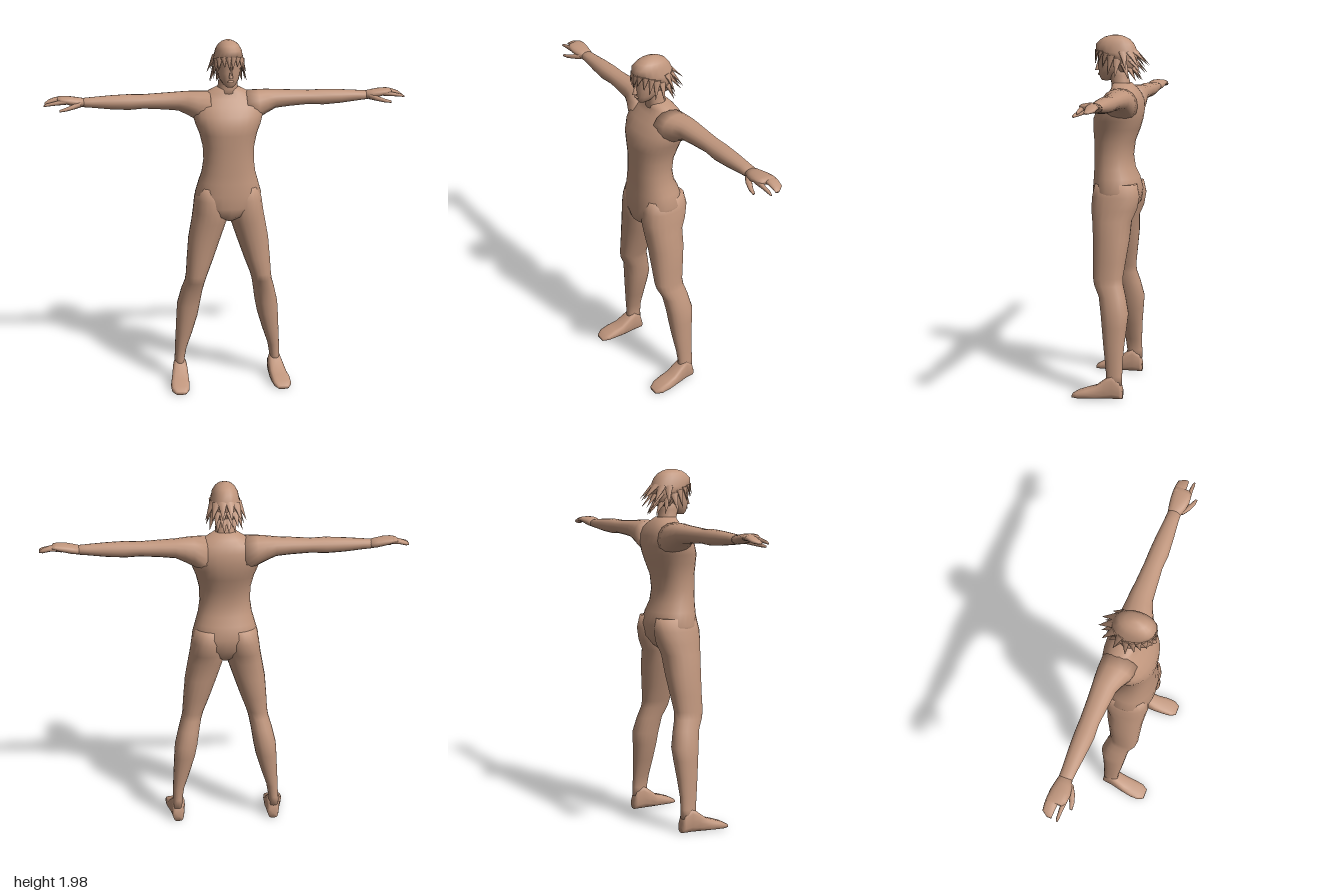
import * as THREE from 'three';

const skin = new THREE.MeshStandardMaterial({ color: 0xc0967d });
skin.name = 'skin';

// Axis of travel -> the two cross-section axes (cyclic order).
const AXES = { x: [0, 1, 2], y: [1, 2, 0], z: [2, 0, 1] };

// Loft through rounded sections [t, uMin, uMax, vMin, vMax], t increasing.
// Along x: u = y, v = z. Along y: u = z, v = x. Along z: u = x, v = y.
function loft(axis, sections, { sides = 20, power = 2.2, mirror = false } = {}) {
  const [w, u, v] = AXES[axis];
  const pos = [], index = [];
  const add = (t, a, b) => {
    const p = [0, 0, 0];
    p[w] = t; p[u] = a; p[v] = b;
    if (mirror) p[0] *= -1;
    pos.push(...p);
  };
  const tri = (a, b, c) => (mirror ? index.push(a, c, b) : index.push(a, b, c));
  const round = (c) => Math.sign(c) * Math.abs(c) ** (2 / power);
  for (const [t, u0, u1, v0, v1] of sections) {
    for (let j = 0; j < sides; j++) {
      const a = (j / sides) * Math.PI * 2;
      add(t, (u0 + u1) / 2 + (u1 - u0) / 2 * round(Math.cos(a)),
        (v0 + v1) / 2 + (v1 - v0) / 2 * round(Math.sin(a)));
    }
  }
  const n = sections.length;
  for (let i = 0; i < n - 1; i++) {
    for (let j = 0; j < sides; j++) {
      const k = (j + 1) % sides, a = i * sides, b = a + sides;
      tri(a + j, a + k, b + k);
      tri(a + j, b + k, b + j);
    }
  }
  // End caps
  for (const i of [0, n - 1]) {
    const [t, u0, u1, v0, v1] = sections[i];
    const centre = pos.length / 3;
    add(t, (u0 + u1) / 2, (v0 + v1) / 2);
    for (let j = 0; j < sides; j++) {
      const a = i * sides + j, b = i * sides + (j + 1) % sides;
      if (i === 0) tri(centre, b, a); else tri(centre, a, b);
    }
  }
  const g = new THREE.BufferGeometry();
  g.setAttribute('position', new THREE.Float32BufferAttribute(pos, 3));
  g.setIndex(index);
  g.computeVertexNormals();
  return g;
}

// Flattened spike from base to tip, its flat side facing away from the head's axis.
function lock(base, tip, width, thick) {
  const b = new THREE.Vector3(...base), t = new THREE.Vector3(...tip);
  const dir = t.clone().sub(b), len = dir.length();
  dir.normalize();
  const side = new THREE.Vector3().crossVectors(dir, new THREE.Vector3(b.x, 0.02, b.z)).normalize();
  const out = new THREE.Vector3().crossVectors(side, dir);
  const g = new THREE.ConeGeometry(1, len, 6).translate(0, len / 2, 0).scale(width, 1, thick);
  return g.applyMatrix4(new THREE.Matrix4().makeBasis(side, dir, out).setPosition(b));
}

export function createModel() {
  const model = new THREE.Group();
  model.name = 'figure';
  const part = (name, geometry, parent = model) => {
    const m = new THREE.Mesh(geometry, skin);
    m.name = name;
    parent.add(m);
  };
  // Section symmetric in x, for the central parts
  const mid = (rows) => rows.map(([y, zb, zf, hw]) => [y, zb, zf, -hw, hw]);

  part('torso', loft('y', mid([
    [0.98, -0.06, 0.07, 0.025], [1.01, -0.10, 0.115, 0.10], [1.06, -0.135, 0.125, 0.175],
    [1.13, -0.148, 0.127, 0.185], [1.2, -0.13, 0.122, 0.165], [1.25, -0.105, 0.12, 0.15],
    [1.32, -0.095, 0.12, 0.14], [1.4, -0.105, 0.12, 0.143], [1.47, -0.132, 0.125, 0.16],
    [1.52, -0.146, 0.124, 0.18], [1.57, -0.153, 0.105, 0.195], [1.62, -0.15, 0.075, 0.195],
    [1.66, -0.135, 0.042, 0.165], [1.69, -0.115, 0.025, 0.115], [1.72, -0.085, 0.02, 0.06],
  ]), { sides: 28 }));

  part('neck', loft('y', mid([
    [1.66, -0.09, 0.03, 0.07], [1.71, -0.078, 0.025, 0.056], [1.76, -0.065, 0.035, 0.052],
    [1.82, -0.06, 0.04, 0.052],
  ])));

  part('head', loft('y', mid([
    [1.732, 0.035, 0.08, 0.018], [1.745, 0.005, 0.09, 0.034], [1.775, -0.03, 0.098, 0.052],
    [1.81, -0.07, 0.1, 0.062], [1.85, -0.08, 0.102, 0.067], [1.9, -0.08, 0.108, 0.068],
    [1.94, -0.06, 0.09, 0.05],
  ])));
  part('nose', lock([0, 1.787, 0.1], [0, 1.85, 0.102], 0.013, 0.022));
  part('lips', new THREE.SphereGeometry(1, 10, 6).scale(0.018, 0.008, 0.008).translate(0, 1.767, 0.096));

  // Hair: a cap with pointed locks hanging from its hem
  const hair = new THREE.Group();
  hair.name = 'hair';
  model.add(hair);
  part('hairCap', loft('y', mid([
    [1.78, -0.09, -0.01, 0.052], [1.82, -0.108, 0.02, 0.07], [1.86, -0.118, 0.05, 0.078],
    [1.885, -0.12, 0.112, 0.079], [1.93, -0.1, 0.115, 0.07], [1.955, -0.078, 0.09, 0.055],
    [1.97, -0.05, 0.065, 0.038], [1.98, -0.02, 0.025, 0.012],
  ])), hair);
  const locks = [
    // fringe
    [[0.014, 1.9, 0.108], [0.006, 1.825, 0.119], 0.018], [[0.038, 1.9, 0.098], [0.034, 1.845, 0.112], 0.02],
    [[0.058, 1.895, 0.075], [0.064, 1.825, 0.09], 0.02],
    // sides
    [[0.071, 1.885, 0.045], [0.076, 1.8, 0.062], 0.02], [[0.074, 1.87, 0.015], [0.085, 1.765, 0.03], 0.024],
    [[0.072, 1.85, -0.02], [0.104, 1.75, -0.012], 0.025], [[0.068, 1.89, -0.05], [0.11, 1.79, -0.075], 0.026],
    [[0.066, 1.83, -0.055], [0.088, 1.74, -0.085], 0.025],
    // back
    [[0.052, 1.89, -0.085], [0.08, 1.8, -0.145], 0.028], [[0.02, 1.895, -0.103], [0.024, 1.815, -0.185], 0.028],
    [[0.045, 1.85, -0.09], [0.06, 1.77, -0.15], 0.026], [[0.016, 1.85, -0.1], [0.03, 1.775, -0.168], 0.026],
    [[0.04, 1.81, -0.075], [0.048, 1.73, -0.12], 0.024], [[0.013, 1.81, -0.09], [0.012, 1.735, -0.145], 0.024],
  ];
  for (const [b, t, w] of locks) {
    for (const s of [1, -1]) {
      part('hairLock', lock([b[0] * s, b[1], b[2]], [t[0] * s, t[1], t[2]], w, 0.009), hair);
    }
  }

  for (const [side, mirror] of [['left', false], ['right', true]]) {
    const limb = (name, axis, rows, options) =>
      part(side + name, loft(axis, rows, { sides: 16, mirror, ...options }));

    limb('Arm', 'x', [
      [0.1, 1.5, 1.695, -0.14, 0.06], [0.17, 1.535, 1.695, -0.138, 0.045], [0.22, 1.563, 1.694, -0.133, 0.02],
      [0.27, 1.588, 1.69, -0.128, 0.002], [0.35, 1.596, 1.686, -0.122, -0.006],
      [0.46, 1.603, 1.68, -0.117, -0.016], [0.54, 1.598, 1.683, -0.117, -0.012],
      [0.64, 1.604, 1.679, -0.113, -0.02], [0.74, 1.615, 1.672, -0.106, -0.03],
      [0.8, 1.621, 1.667, -0.104, -0.034],
    ]);
    limb('Palm', 'x', [
      [0.78, 1.621, 1.667, -0.104, -0.034], [0.82, 1.624, 1.674, -0.112, -0.02],
      [0.86, 1.634, 1.68, -0.117, -0.012], [0.9, 1.646, 1.681, -0.118, -0.015],
      [0.925, 1.65, 1.678, -0.118, -0.03],
    ]);
    limb('Fingers', 'x', [
      [0.9, 1.646, 1.68, -0.118, -0.05], [0.94, 1.645, 1.673, -0.118, -0.055],
      [0.975, 1.637, 1.66, -0.114, -0.058], [0.995, 1.633, 1.645, -0.085, -0.06],
    ], { sides: 12 });
    limb('IndexFinger', 'x', [
      [0.88, 1.642, 1.675, -0.045, -0.014], [0.94, 1.638, 1.66, -0.041, -0.02],
      [0.985, 1.634, 1.65, -0.038, -0.022], [1, 1.632, 1.64, -0.034, -0.026],
    ], { sides: 8 });
    limb('Thumb', 'x', [
      [0.8, 1.624, 1.655, -0.055, -0.02], [0.84, 1.617, 1.645, -0.035, 0.003],
      [0.88, 1.611, 1.632, -0.012, 0.015], [0.915, 1.609, 1.622, 0.003, 0.018],
    ], { sides: 8 });

    limb('Leg', 'y', [
      [0.08, -0.094, 0.0, 0.245, 0.312], [0.13, -0.094, -0.004, 0.25, 0.306], [0.2, -0.094, 0.004, 0.238, 0.304],
      [0.3, -0.1, 0.018, 0.204, 0.299], [0.4, -0.11, 0.03, 0.174, 0.294],
      [0.47, -0.117, 0.038, 0.16, 0.289], [0.56, -0.097, 0.053, 0.146, 0.267],
      [0.62, -0.08, 0.083, 0.134, 0.248], [0.66, -0.076, 0.091, 0.122, 0.242], [0.75, -0.088, 0.094, 0.088, 0.236],
      [0.87, -0.104, 0.1, 0.046, 0.226], [0.97, -0.11, 0.11, 0.012, 0.208],
      [1.03, -0.138, 0.118, 0.004, 0.197], [1.1, -0.151, 0.115, 0.006, 0.188], [1.17, -0.137, 0.1, 0.02, 0.168],
    ], { sides: 20 });
    limb('Foot', 'z', [
      [-0.094, 0.248, 0.303, 0, 0.06], [-0.08, 0.242, 0.31, 0, 0.11], [-0.04, 0.237, 0.317, 0, 0.14],
      [0.0, 0.235, 0.325, 0, 0.112], [0.05, 0.235, 0.335, 0, 0.072], [0.1, 0.237, 0.344, 0, 0.056],
      [0.15, 0.243, 0.344, 0, 0.038], [0.182, 0.262, 0.325, 0, 0.02],
    ], { power: 3 });
  }
  return model;
}
